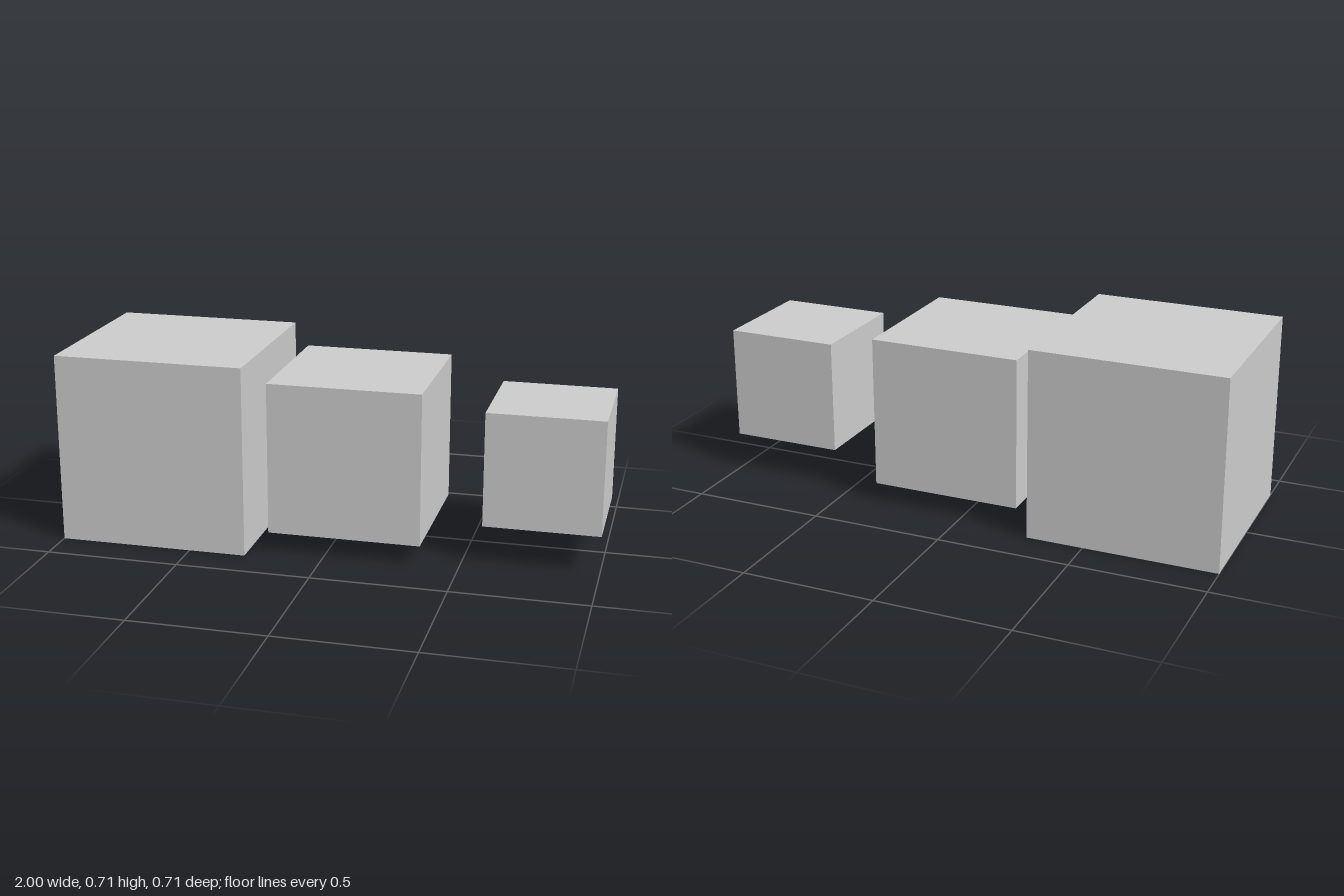
import * as THREE from 'three';

export function createModel() {
  const group = new THREE.Group();
  const material = new THREE.MeshStandardMaterial({ color: 0xcccccc, flatShading: true });

  // Three shrinking cubes, evenly spaced on one shared centre line
  const unit = 1 / 7;
  const cubes = [
    { name: 'largeCube', size: 5 * unit, x: -4.5 * unit },
    { name: 'mediumCube', size: 4 * unit, x: 0.5 * unit },
    { name: 'smallCube', size: 3 * unit, x: 5.5 * unit },
  ];
  for (const { name, size, x } of cubes) {
    const cube = new THREE.Mesh(new THREE.BoxGeometry(size, size, size), material);
    cube.name = name;
    cube.position.set(x, 2.5 * unit, 0);
    group.add(cube);
  }
  return group;
}
